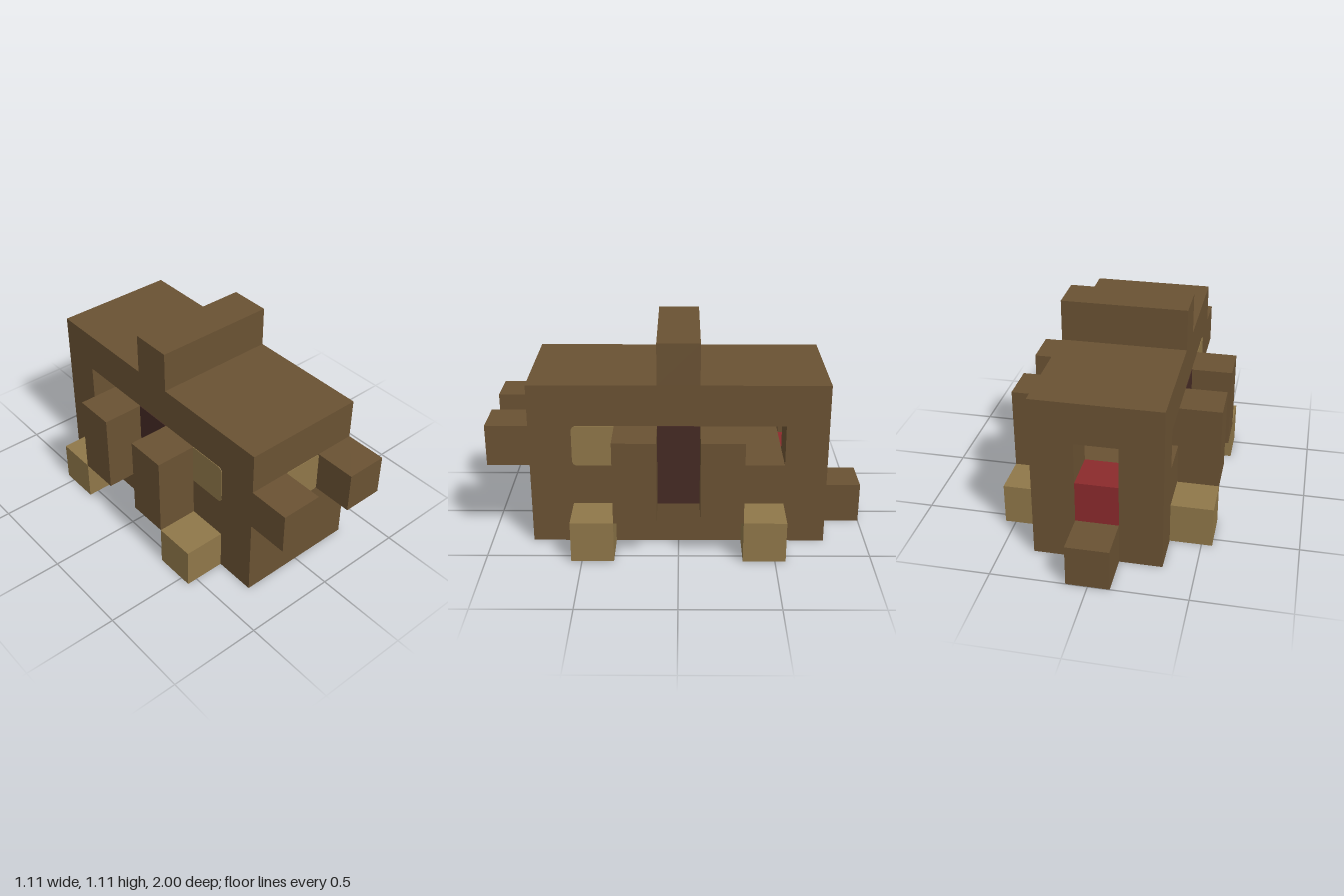
import * as THREE from 'three';

const U = 2 / 9; // one block

const mat = (name, color) => {
  const m = new THREE.MeshStandardMaterial({ color });
  m.name = name;
  return m;
};

export function createModel() {
  const brown = mat('brown', 0x6a5233);
  const tan = mat('tan', 0x8f7749);
  const maroon = mat('maroon', 0x452a24);
  const red = mat('red', 0x8b2a2c);
  const model = new THREE.Group();
  model.name = 'blockHouse';

  // Box given by its extents, in blocks
  function box(name, material, [x0, x1], [y0, y1], [z0, z1], parent = model) {
    const g = new THREE.BoxGeometry((x1 - x0) * U, (y1 - y0) * U, (z1 - z0) * U);
    const mesh = new THREE.Mesh(g, material);
    mesh.position.set((x0 + x1) / 2 * U, (y0 + y1) / 2 * U, (z0 + z1) / 2 * U);
    mesh.name = name;
    parent.add(mesh);
    return mesh;
  }

  // One-block square plate facing +z; left corners use rl, right corners rr
  function paneGeometry(rl, rr) {
    const h = U / 2, s = new THREE.Shape();
    s.moveTo(-h + rl, -h);
    s.lineTo(h - rr, -h);
    if (rr) s.quadraticCurveTo(h, -h, h, -h + rr);
    s.lineTo(h, h - rr);
    if (rr) s.quadraticCurveTo(h, h, h - rr, h);
    s.lineTo(-h + rl, h);
    if (rl) s.quadraticCurveTo(-h, h, -h, h - rl);
    s.lineTo(-h, -h + rl);
    if (rl) s.quadraticCurveTo(-h, -h, -h + rl, -h);
    return new THREE.ExtrudeGeometry(s, { depth: 0.003, bevelEnabled: false, curveSegments: 5 });
  }

  // Body: base, middle, rear posts around the openings, roof
  const body = new THREE.Group();
  body.name = 'body';
  model.add(body);
  box('base', brown, [-1.5, 1.5], [0, 1], [-3.5, 3.5], body);
  box('lowerWall', brown, [-1.5, 1.5], [1, 2], [-2.5, 3.5], body);
  box('upperWall', brown, [-1.5, 1.5], [2, 3], [-1.5, 3.5], body);
  box('roof', brown, [-1.5, 1.5], [3, 4], [-3.5, 3.5], body);
  box('roofRidge', brown, [-1.5, 1.5], [4, 5], [-0.5, 0.5], body);

  // Rear doorway block and step
  box('redBlock', red, [-0.5, 0.5], [1, 2], [-3.5, -2.5]);
  box('rearStep', brown, [-0.5, 0.5], [0, 1], [-4.5, -3.5]);

  // Front pane
  const frontPane = new THREE.Mesh(paneGeometry(0.012, 0.012), tan);
  frontPane.name = 'frontPane';
  frontPane.position.set(0, 2.5 * U, 3.5 * U);
  model.add(frontPane);

  for (const s of [-1, 1]) {
    const span = (a, b) => (s > 0 ? [a, b] : [-b, -a]);
    box('rearPost', brown, span(0.5, 1.5), [1, 3], [-3.5, -2.5], body);
    box('frontBlock', brown, span(0.5, 1.5), [2, 3], [3.5, 4.5]);

    // Side pillars and feet
    for (const f of [-1, 1]) {
      const zs = (a, b) => (f > 0 ? [a, b] : [-b, -a]);
      box('pillar', brown, span(1.5, 2.5), [1, 3], zs(0.5, 1.5));
      box('foot', tan, span(1.5, 2.5), [0, 1], zs(1.5, 2.5));
    }

    // Side door between the pillars
    box('sideDoor', maroon, span(1.5, 1.514), [1, 3], [-0.5, 0.5]);

    // Side pane, rounded on its forward edge
    const pane = new THREE.Mesh(s > 0 ? paneGeometry(0.03, 0) : paneGeometry(0, 0.03), tan);
    pane.name = 'sidePane';
    pane.rotation.y = s * Math.PI / 2;
    pane.position.set(s * 1.5 * U, 2.5 * U, 2 * U);
    model.add(pane);
  }
  return model;
}
